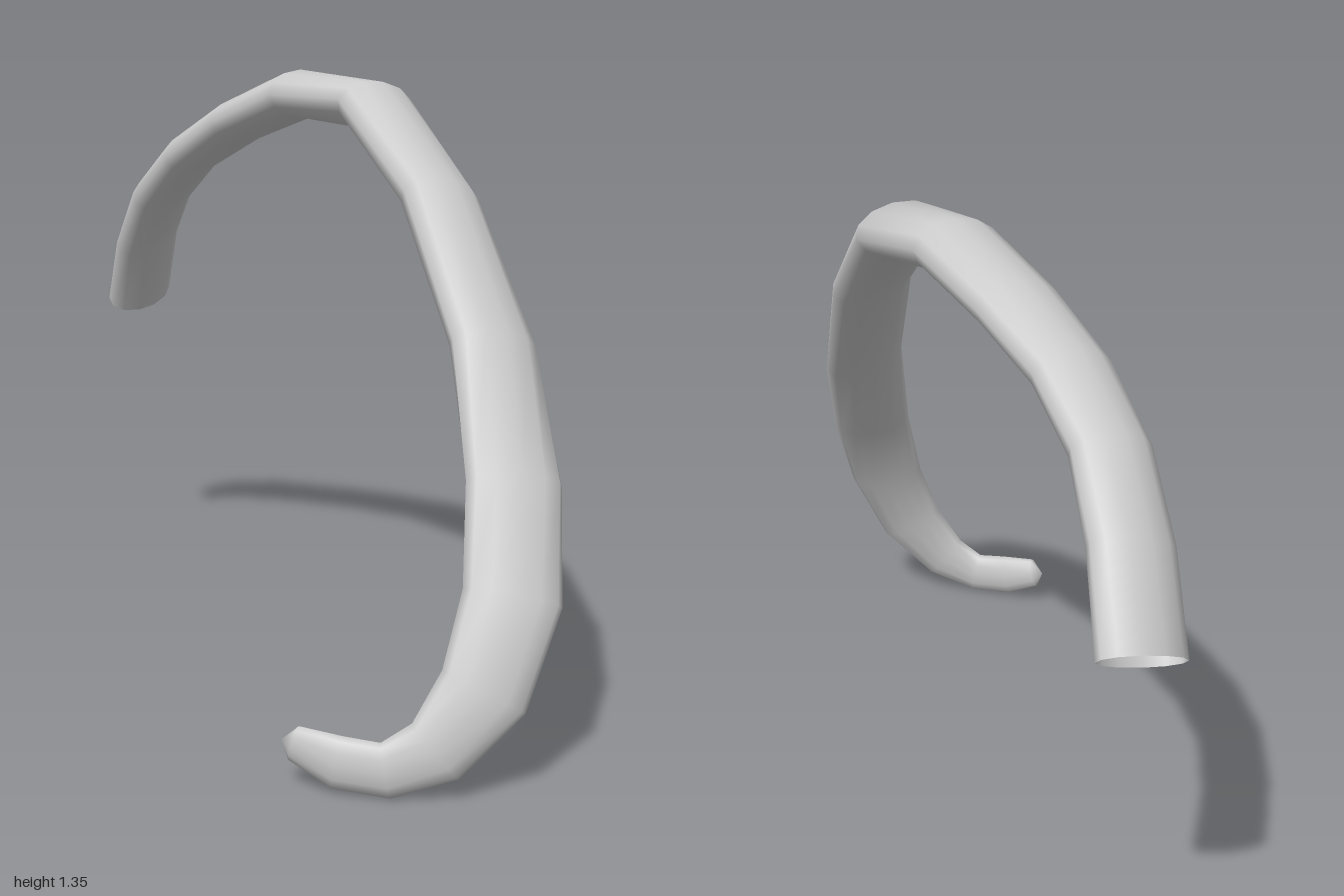
import * as THREE from 'three';

const SIDES = 12;

// Cross-sections along the curve: centre x, y, z, then the full width axis x, y, z, then thickness
const SECTIONS = [
  [-0.94, 0.715, -0.44, 0, -0.05, 0.19, 0.125],
  [-0.835, 0.885, -0.383, 0, -0.05, 0.19, 0.113],
  [-0.70, 1.02, -0.325, 0, -0.03, 0.18, 0.112],
  [-0.545, 1.13, -0.298, 0, -0.02, 0.185, 0.107],
  [-0.355, 1.218, -0.287, 0, 0, 0.19, 0.108],
  [-0.12, 1.292, -0.272, 0, 0, 0.197, 0.115],
  [0.16, 1.272, -0.228, -0.01, 0.02, 0.205, 0.115],
  [0.45, 1.08, -0.125, -0.02, 0.04, 0.2, 0.115],
  [0.705, 0.81, 0.0, -0.05, 0.05, 0.195, 0.11],
  [0.855, 0.57, 0.11, -0.11, 0.036, 0.16, 0.095],
  [0.93, 0.375, 0.2, -0.13, 0.034, 0.14, 0.08],
  [0.933, 0.21, 0.283, -0.12, 0.07, 0.11, 0.07],
  [0.885, 0.1, 0.363, -0.08, 0.09, 0.07, 0.06],
  [0.815, 0.058, 0.425, -0.03, 0.105, 0.02, 0.05],
  [0.735, 0.065, 0.475, 0, 0.11, 0, 0.05],
  [0.655, 0.09, 0.51, 0.02, 0.075, 0, 0.04],
];
const TIP = [0.63, 0.093, 0.52];

// Oval tube lofted through the sections, open at the start and closed at the tip
function loft() {
  const centres = SECTIONS.map(s => new THREE.Vector3(s[0], s[1], s[2]));
  const last = centres.length - 1;
  const points = [];
  const index = [];
  SECTIONS.forEach((s, i) => {
    const tangent = centres[Math.min(i + 1, last)].clone()
      .sub(centres[Math.max(i - 1, 0)]).normalize();
    const wide = new THREE.Vector3(s[3], s[4], s[5]);
    const half = wide.length() / 2;
    wide.addScaledVector(tangent, -wide.dot(tangent)).normalize();
    const thin = new THREE.Vector3().crossVectors(tangent, wide);
    for (let j = 0; j < SIDES; j++) {
      const a = (j / SIDES) * Math.PI * 2;
      const p = centres[i].clone()
        .addScaledVector(wide, Math.cos(a) * half)
        .addScaledVector(thin, Math.sin(a) * s[6] / 2);
      points.push(p);
    }
  });
  points.push(new THREE.Vector3(...TIP));
  for (let i = 0; i <= last; i++) {
    for (let j = 0; j < SIDES; j++) {
      const a = i * SIDES + j;
      const b = i * SIDES + (j + 1) % SIDES;
      if (i === last) index.push(a, b, points.length - 1);
      else index.push(a, b, b + SIDES, a, b + SIDES, a + SIDES);
    }
  }
  const geometry = new THREE.BufferGeometry().setFromPoints(points);
  geometry.setIndex(index);
  geometry.computeVertexNormals();
  return geometry;
}

export function createModel() {
  const group = new THREE.Group();
  group.name = 'curvedRib';
  const material = new THREE.MeshStandardMaterial({ color: 0xcccccc, side: THREE.DoubleSide });
  const rib = new THREE.Mesh(loft(), material);
  rib.name = 'ribBand';
  group.add(rib);
  return group;
}
